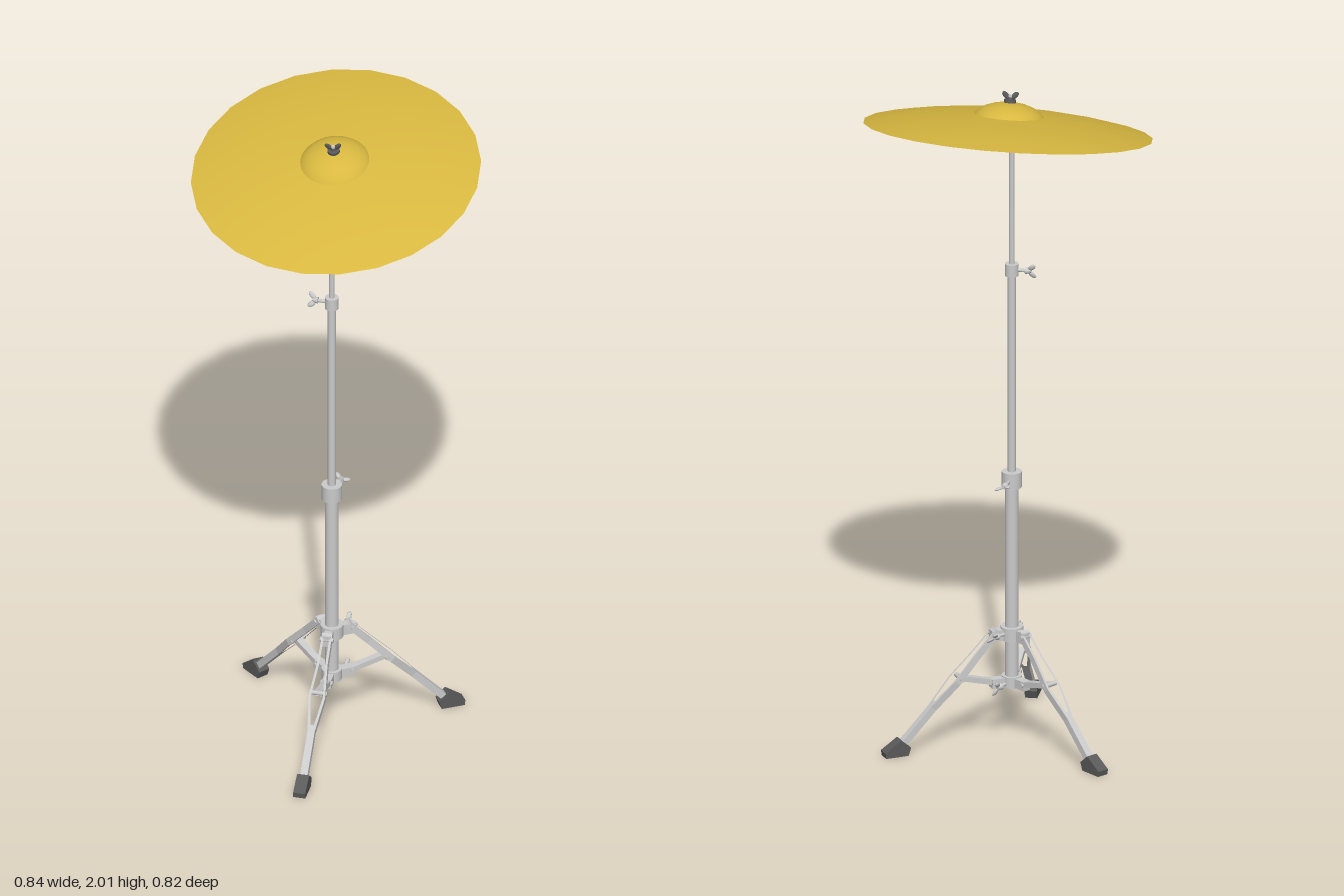
import * as THREE from 'three';

const steel = new THREE.MeshStandardMaterial({ color: 0xcccccc });
const rubber = new THREE.MeshStandardMaterial({ color: 0x5a5a5a });
const brass = new THREE.MeshStandardMaterial({ color: 0xd8b840, side: THREE.DoubleSide });
const UP = new THREE.Vector3(0, 1, 0);
const V = (x, y, z) => new THREE.Vector3(x, y, z);

function add(parent, name, geo, mat = steel) {
  const m = new THREE.Mesh(geo, mat);
  m.name = name;
  parent.add(m);
  return m;
}

// upright cylinder between two heights
function tube(parent, name, r, y0, y1, seg = 16) {
  const m = add(parent, name, new THREE.CylinderGeometry(r, r, y1 - y0, seg));
  m.position.y = (y0 + y1) / 2;
  return m;
}

// screw with two rounded wings, pointing along local +y
function wingNut(parent, name, pos, dir, length, spin = 0, mat = steel) {
  const g = new THREE.Group();
  g.name = name;
  tube(g, 'screw', 0.005, 0, length, 8).material = mat;
  const boss = add(g, 'boss', new THREE.CylinderGeometry(0.007, 0.01, 0.014, 10), mat);
  boss.position.y = length - 0.01;
  for (const s of [-1, 1]) {
    const wing = add(g, 'wing', new THREE.SphereGeometry(1, 10, 8), mat);
    wing.scale.set(0.008, 0.014, 0.004);
    wing.position.set(s * 0.013, length + 0.002, 0);
    wing.rotation.z = -s * 0.75;
  }
  g.position.copy(pos);
  g.quaternion.setFromUnitVectors(UP, dir.clone().normalize());
  g.rotateY(spin);
  parent.add(g);
}

// outline mirrored about the x axis from [x, halfWidth] pairs
function mirrored(pairs, Type) {
  const upper = pairs.map(([x, w]) => new THREE.Vector2(x, w));
  const lower = pairs.map(([x, w]) => new THREE.Vector2(x, -w)).reverse();
  return new Type([...upper, ...lower]);
}

// flat extrusion whose length runs from a to b in the local xy plane
function plate(parent, name, shape, depth, a, b) {
  const geo = new THREE.ExtrudeGeometry(shape, { depth, bevelEnabled: false });
  geo.translate(0, 0, -depth / 2).rotateX(Math.PI / 2);
  const m = add(parent, name, geo);
  m.rotation.z = Math.atan2(b.y - a.y, b.x - a.x);
  m.position.copy(a);
}

function makeLeg(angle) {
  const leg = new THREE.Group();
  leg.name = 'leg';
  const top = V(0.055, 0.335, 0), end = V(0.345, 0.03, 0);

  // split leg that opens in the middle and closes toward the foot
  const bar = mirrored([[-0.012, 0.015], [0.08, 0.016], [0.18, 0.025], [0.28, 0.011], [0.42, 0.011]], THREE.Shape);
  bar.holes.push(mirrored([[-0.004, 0.008], [0.08, 0.009], [0.18, 0.018], [0.262, 0.005]], THREE.Path));
  plate(leg, 'legBar', bar, 0.02, top, end);

  // strut from the lower hub to the leg
  const a = V(0.05, 0.183, 0), b = V(0.165, 0.213, 0);
  plate(leg, 'strut', mirrored([[0, 0.011], [0.12, 0.011]], THREE.Shape), 0.016, a, b);

  // brackets and pivot pins
  for (const [x, y, h, w] of [[0.043, 0.328, 0.034, 0.024], [0.043, 0.181, 0.028, 0.026]]) {
    const bracket = add(leg, 'bracket', new THREE.BoxGeometry(0.046, h, w));
    bracket.position.set(x, y, 0);
  }
  for (const p of [[0.06, 0.332, 0.04], [0.06, 0.184, 0.036], [0.163, 0.213, 0.052]]) {
    const pin = add(leg, 'pivotPin', new THREE.CylinderGeometry(0.007, 0.007, p[2], 10));
    pin.rotation.x = Math.PI / 2;
    pin.position.set(p[0], p[1], 0);
  }

  // rubber foot, extruded from its side profile
  const side = new THREE.Shape([[0.33, 0], [0.4, 0], [0.402, 0.016], [0.352, 0.05], [0.322, 0.024]]
    .map(p => new THREE.Vector2(...p)));
  const foot = new THREE.ExtrudeGeometry(side, { depth: 0.036, bevelEnabled: false });
  add(leg, 'foot', foot.translate(0, 0, -0.018), rubber);

  leg.rotation.y = -angle;
  return leg;
}

function makeCymbal() {
  const cymbal = new THREE.Group();
  cymbal.name = 'cymbal';
  const lathe = (pts, seg) => new THREE.LatheGeometry(pts.map(p => new THREE.Vector2(...p)), seg, 0.08);
  add(cymbal, 'bow', lathe([[0.422, 0], [0.36, 0.014], [0.28, 0.028], [0.19, 0.039], [0.098, 0.046]], 24), brass);
  add(cymbal, 'bell', lathe([[0.101, 0.045], [0.092, 0.056], [0.074, 0.068], [0.05, 0.077],
    [0.025, 0.082], [0.004, 0.083]], 40), brass);

  // rod through the bell with felt washer and nut
  tube(cymbal, 'rod', 0.006, 0.04, 0.105, 10);
  tube(cymbal, 'lowerFelt', 0.018, 0.066, 0.08).material = rubber;
  tube(cymbal, 'upperFelt', 0.018, 0.083, 0.092).material = rubber;
  wingNut(cymbal, 'topWingNut', V(0, 0.088, 0), UP, 0.014, 0.5, rubber);

  cymbal.position.set(0, 1.893, 0);
  cymbal.quaternion.setFromUnitVectors(UP, V(0.05, 1, 0.225).normalize());
  return cymbal;
}

export function createModel() {
  const model = new THREE.Group();
  model.name = 'cymbalStand';
  const stand = new THREE.Group();
  stand.name = 'stand';
  stand.position.z = 0.022;
  model.add(stand);

  // telescoping tubes and their clamps
  tube(stand, 'lowerTube', 0.02, 0.16, 0.8);
  tube(stand, 'middleTube', 0.012, 0.8, 1.45);
  tube(stand, 'upperTube', 0.008, 1.45, 1.925, 12);
  tube(stand, 'lowerClamp', 0.03, 0.782, 0.83);
  tube(stand, 'upperClamp', 0.02, 1.437, 1.474);
  tube(stand, 'upperHub', 0.034, 0.31, 0.35);
  tube(stand, 'lowerHub', 0.03, 0.165, 0.198);

  // tilter joint under the bell
  const tilter = add(stand, 'tilter', new THREE.CylinderGeometry(0.016, 0.016, 0.024, 14));
  tilter.rotation.z = Math.PI / 2;
  tilter.position.set(0, 1.925, -0.006);

  // clamp screws
  wingNut(stand, 'lowerClampScrew', V(0, 0.806, 0), V(-0.2, 0, -1), 0.078, 0.5);
  wingNut(stand, 'upperClampScrew', V(0, 1.455, 0), V(-1, 0, 0.3), 0.058, 0.6);
  wingNut(stand, 'upperHubScrew', V(0, 0.332, 0), V(0.25, 0, -1), 0.075, 0.5);
  wingNut(stand, 'lowerHubScrew', V(0, 0.18, 0), V(0.2, -0.1, -1), 0.065, 1.0);

  // three legs
  for (const deg of [70, 199, 308]) stand.add(makeLeg(THREE.MathUtils.degToRad(deg)));

  model.add(makeCymbal());
  return model;
}
